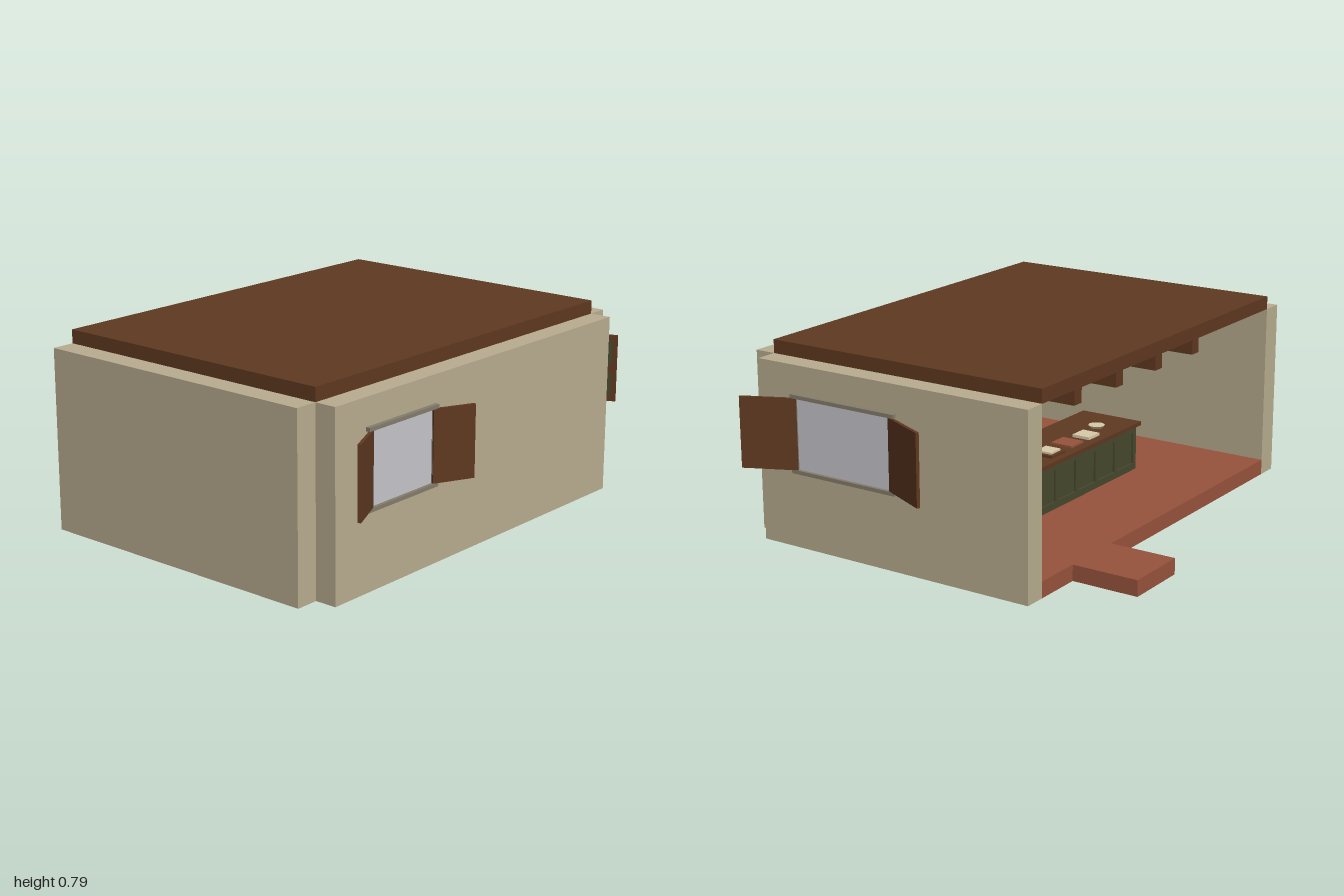
import * as THREE from 'three';

const paint = (name, color) => Object.assign(new THREE.MeshStandardMaterial({ color }), { name });
const M = {
  plaster: paint('plaster', 0xb9ad90),
  wood: paint('dark wood', 0x5f3920),
  brick: paint('terracotta', 0x97533c),
  glass: paint('window glass', 0xc5c5cc),
  frame: paint('window frame', 0x857d6c),
  green: paint('green paint', 0x46482e),
  cream: paint('cream', 0xd8cba8),
};

// Box given by its lower and upper limits on each axis
function slab(parent, name, mat, x0, x1, y0, y1, z0, z1) {
  const mesh = new THREE.Mesh(new THREE.BoxGeometry(x1 - x0, y1 - y0, z1 - z0), mat);
  mesh.position.set((x0 + x1) / 2, (y0 + y1) / 2, (z0 + z1) / 2);
  mesh.name = name;
  parent.add(mesh);
  return mesh;
}

// Shutter leaf running from its hinge along +x, panelled on its -z face
function makeShutter(len) {
  const g = new THREE.Group();
  g.name = 'shutter';
  const h = 0.143;
  slab(g, 'shutterBoard', M.wood, 0, len, -h, h, -0.004, 0.004);
  for (const s of [-1, 1]) {
    slab(g, 'shutterPanel', M.green, 0.02, len - 0.02, s * 0.069 - 0.053, s * 0.069 + 0.053, -0.006, -0.004);
    slab(g, 'shutterRail', M.wood, 0, len, s * 0.1325 - 0.0105, s * 0.1325 + 0.0105, -0.009, -0.004);
  }
  slab(g, 'shutterMiddleRail', M.wood, 0, len, -0.016, 0.016, -0.009, -0.004);
  slab(g, 'shutterStile', M.wood, 0, 0.02, -h, h, -0.009, -0.004);
  slab(g, 'shutterStile', M.wood, len - 0.02, len, -h, h, -0.009, -0.004);
  return g;
}

// Window facing +z, its outer wall face on z = 0
function makeWindow(w, wall) {
  const g = new THREE.Group();
  g.name = 'window';
  const a = w / 2, h = 0.143;
  slab(g, 'outerPane', M.glass, -a, a, -h, h, 0, 0.004);
  slab(g, 'innerPane', M.glass, -a, a, -h, h, -wall - 0.004, -wall);
  for (const s of [-1, 1]) {
    slab(g, 'frameBar', M.frame, -a - 0.025, a + 0.025, s * 0.15 - 0.0075, s * 0.15 + 0.0075, 0, 0.018);
    slab(g, 'frameJamb', M.frame, s * (a + 0.008) - 0.008, s * (a + 0.008) + 0.008, -h, h, 0, 0.008);
    const side = new THREE.Group();
    side.name = 'shutterSide';
    side.scale.x = s;
    const leaf = makeShutter(a);
    leaf.position.set(a, 0, 0.01);
    leaf.rotation.y = -0.44;
    side.add(leaf);
    g.add(side);
  }
  return g;
}

// Kitchen island with a panelled front and back
function makeIsland() {
  const g = new THREE.Group();
  g.name = 'island';
  const x0 = -0.17, x1 = 0.08, z0 = -0.42, z1 = 0.5, n = 6;
  slab(g, 'islandBody', M.green, x0, x1, 0.065, 0.255, z0, z1);
  slab(g, 'islandTop', M.wood, x0 - 0.02, x1 + 0.02, 0.255, 0.272, z0 - 0.02, z1 + 0.02);
  for (const [a, b] of [[x0 - 0.008, x0], [x1, x1 + 0.008]]) {
    slab(g, 'islandPlinth', M.green, a, b, 0.065, 0.095, z0, z1);
    slab(g, 'islandRail', M.green, a, b, 0.23, 0.255, z0, z1);
    for (let i = 0; i <= n; i++) {
      const z = z0 + 0.012 + (i / n) * (z1 - z0 - 0.024);
      slab(g, 'islandStile', M.green, a, b, 0.095, 0.23, z - 0.012, z + 0.012);
    }
  }
  // Things laid out on the top
  slab(g, 'choppingBoard', M.brick, -0.15, -0.05, 0.272, 0.28, 0.04, 0.13);
  slab(g, 'openBook', M.cream, -0.15, -0.07, 0.272, 0.284, 0.17, 0.25);
  slab(g, 'tray', M.wood, -0.16, -0.06, 0.272, 0.282, -0.12, -0.02);
  slab(g, 'cloth', M.cream, -0.145, -0.075, 0.282, 0.29, -0.105, -0.035);
  for (const z of [-0.25, 0.34]) {
    const plate = new THREE.Mesh(new THREE.CylinderGeometry(0.035, 0.025, 0.012, 16), M.cream);
    plate.name = 'plate';
    plate.position.set(-0.08, 0.278, z);
    g.add(plate);
  }
  return g;
}

export function createModel() {
  const g = new THREE.Group();
  g.name = 'openRoom';
  const L = -0.57, R = 0.675, B = -0.805, F = 0.905, top = 0.735;

  // Floor, doorstep, roof
  slab(g, 'floor', M.brick, L, R, 0, 0.065, B, F);
  slab(g, 'doorstep', M.brick, -0.85, L, 0, 0.065, -0.6, -0.33);
  slab(g, 'roof', M.wood, L, R, top, 0.79, B, F);

  // Three walls, the fourth side open
  slab(g, 'frontWall', M.plaster, L, R, 0, top, F, 1);
  slab(g, 'backWall', M.plaster, L, R, 0, top, -0.895, B);
  slab(g, 'leftWall', M.plaster, R, 0.765, 0, top, B, F);

  // Ceiling beams
  for (let i = 0; i < 4; i++) {
    const z = 0.345 - i * 0.29;
    slab(g, 'ceilingBeam', M.wood, -0.54, R, 0.66, top, z - 0.025, z + 0.025);
  }

  // Windows
  const sideWindow = makeWindow(0.345, 0.09);
  sideWindow.position.set(0.765, 0.4675, 0.5425);
  sideWindow.rotation.y = Math.PI / 2;
  const backWindow = makeWindow(0.445, 0.09);
  backWindow.position.set(0.2625, 0.4645, -0.895);
  backWindow.rotation.y = Math.PI;
  g.add(sideWindow, backWindow, makeIsland());
  return g;
}
